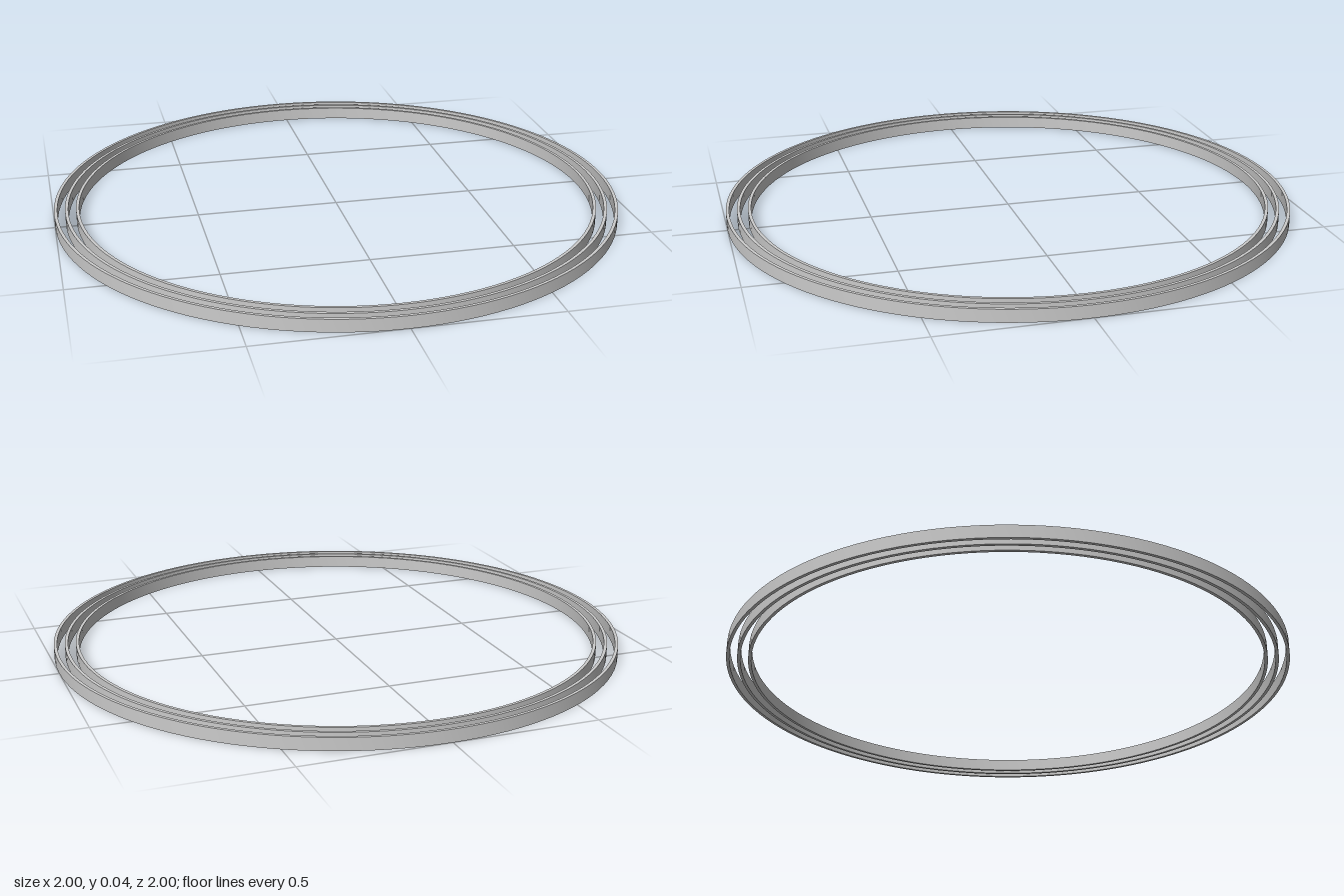
import * as THREE from 'three';
import { toCreasedNormals } from 'three/addons/utils/BufferGeometryUtils.js';

const HEIGHT = 0.044;
const THICKNESS = 0.011;
const SEGMENTS = 128;

// Thin upright band: a rectangular section turned around the y axis
function band(name, outer, material) {
  const inner = outer - THICKNESS;
  const section = [
    [inner, 0], [outer, 0], [outer, HEIGHT], [inner, HEIGHT], [inner, 0],
  ].map(([r, y]) => new THREE.Vector2(r, y));
  const geometry = toCreasedNormals(new THREE.LatheGeometry(section, SEGMENTS), 0.5);
  const mesh = new THREE.Mesh(geometry, material);
  mesh.name = name;
  return mesh;
}

export function createModel() {
  const group = new THREE.Group();
  group.name = 'concentricRings';
  const material = new THREE.MeshStandardMaterial({ color: 0xcccccc });

  // Three nested rings, evenly spaced
  ['outerRing', 'middleRing', 'innerRing'].forEach((name, i) => {
    group.add(band(name, 1 - i * 0.038, material));
  });
  return group;
}
